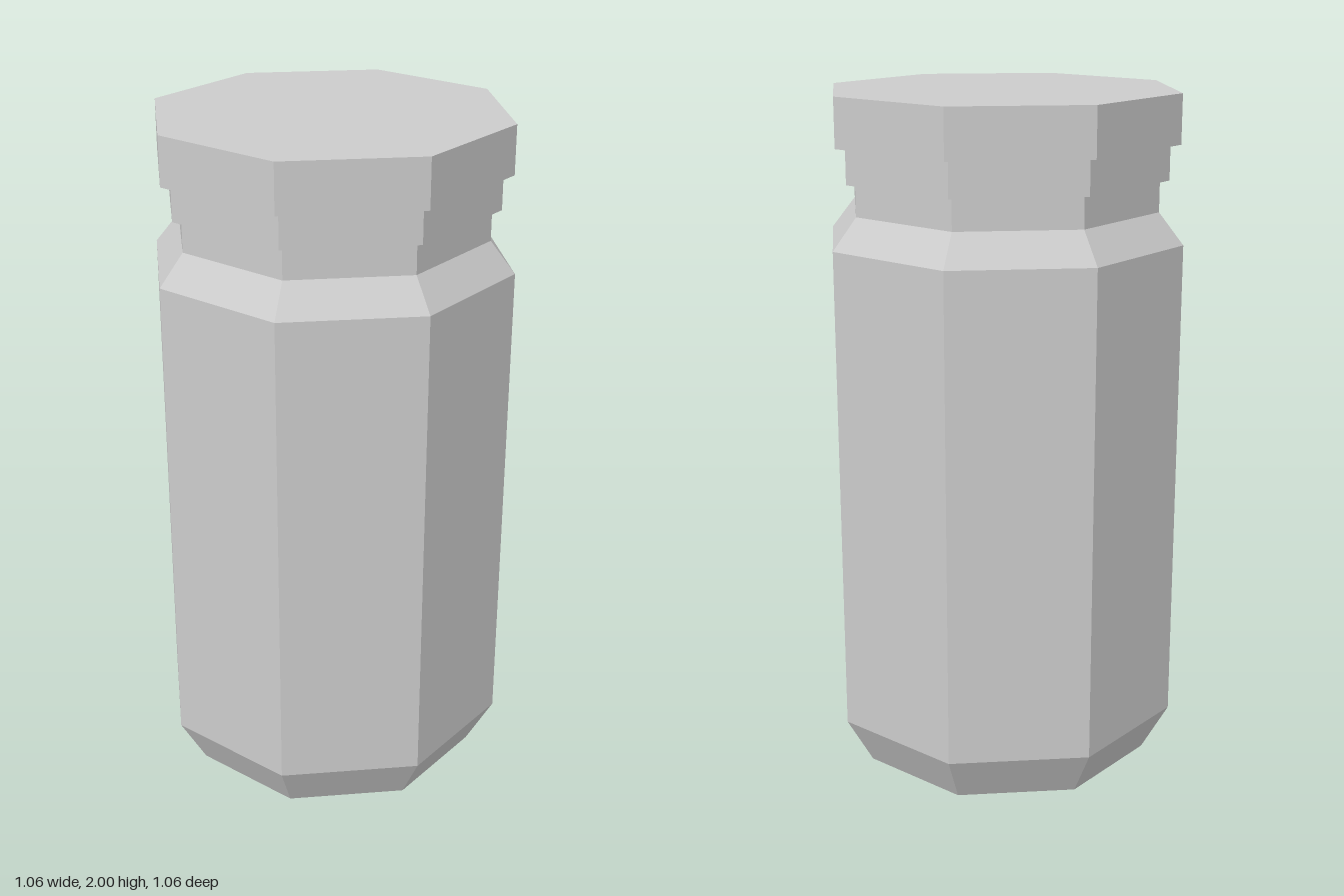
import * as THREE from 'three';

const SIDES = 8;

export function createModel() {
  const jar = new THREE.Group();
  jar.name = 'jar';
  const material = new THREE.MeshStandardMaterial({ color: 0xcccccc, flatShading: true });

  // Octagonal solid turned from a [radius, height] profile, bottom to top
  function addTurned(name, profile) {
    const points = profile.map(([r, y]) => new THREE.Vector2(r, y));
    const mesh = new THREE.Mesh(new THREE.LatheGeometry(points, SIDES), material);
    mesh.name = name;
    jar.add(mesh);
  }

  // Body with chamfered base, sloping shoulder and neck
  addTurned('body', [
    [0, 0], [0.45, 0], [0.53, 0.145], [0.53, 1.58], [0.458, 1.67], [0.458, 1.76],
  ]);

  // Collar and lid, each overhanging the part below
  addTurned('collar', [[0.458, 1.76], [0.485, 1.76], [0.485, 1.86]]);
  addTurned('lid', [[0.485, 1.86], [0.515, 1.86], [0.515, 2], [0, 2]]);

  return jar;
}
